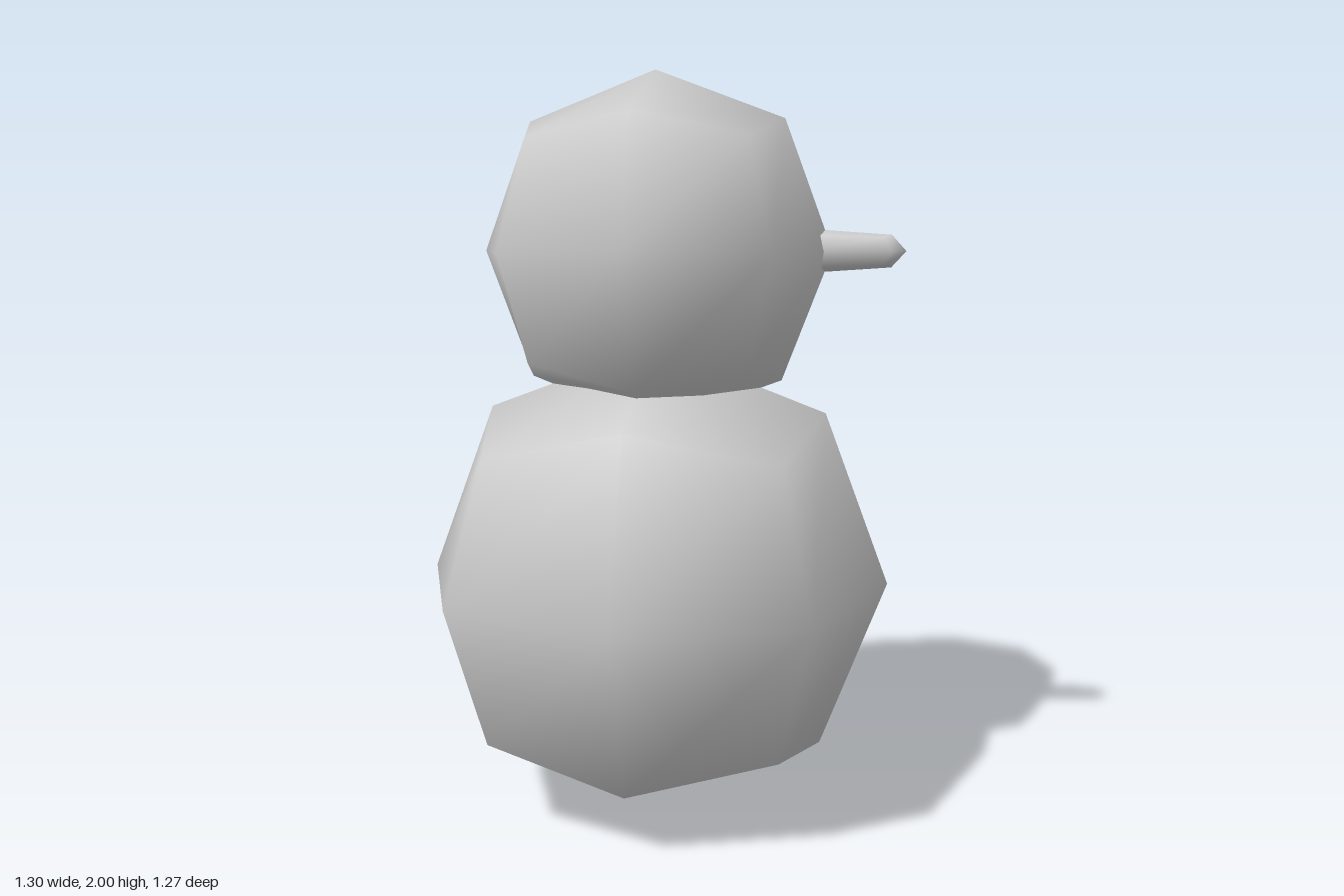
import * as THREE from 'three';
import { mergeVertices } from 'three/addons/utils/BufferGeometryUtils.js';

// Subdivided cube relaxed into a coarse ball of radius 1, with an optional vertex rule
function ballGeometry(rule) {
  const box = new THREE.BoxGeometry(2, 2, 2, 2, 2, 2);
  box.deleteAttribute('uv');
  box.deleteAttribute('normal');
  box.clearGroups();
  const geo = mergeVertices(box);
  const pos = geo.attributes.position;
  const pull = [0, 1, 0.726, 0.596]; // face centre, edge middle, corner
  const v = new THREE.Vector3();
  for (let i = 0; i < pos.count; i++) {
    v.fromBufferAttribute(pos, i).round();
    v.multiplyScalar(pull[Math.abs(v.x) + Math.abs(v.y) + Math.abs(v.z)]);
    if (rule) rule(v);
    pos.setXYZ(i, v.x, v.y, v.z);
  }
  geo.computeVertexNormals();
  return geo;
}

export function createModel() {
  const group = new THREE.Group();
  const grey = new THREE.MeshStandardMaterial({ color: 0xcccccc });
  grey.name = 'light grey';

  function addPart(name, geo, x, y) {
    const mesh = new THREE.Mesh(geo, grey);
    mesh.name = name;
    mesh.position.set(x, y, 0);
    group.add(mesh);
  }

  // Two stacked balls
  addPart('body', ballGeometry().scale(0.635, 0.635, 0.635), -0.016, 0.64);
  addPart('head', ballGeometry().scale(0.471, 0.471, 0.471), -0.016, 1.529);

  // Long thin nose, tapering from inside the head to a blunt point
  const nose = ballGeometry((v) => {
    v.x = Math.sign(v.x) * (0.126 + 0.139 * Math.abs(v.x));
    v.y *= 0.058;
    v.z *= 0.058;
  });
  addPart('nose', nose, 0.38, 1.53);

  return group;
}
